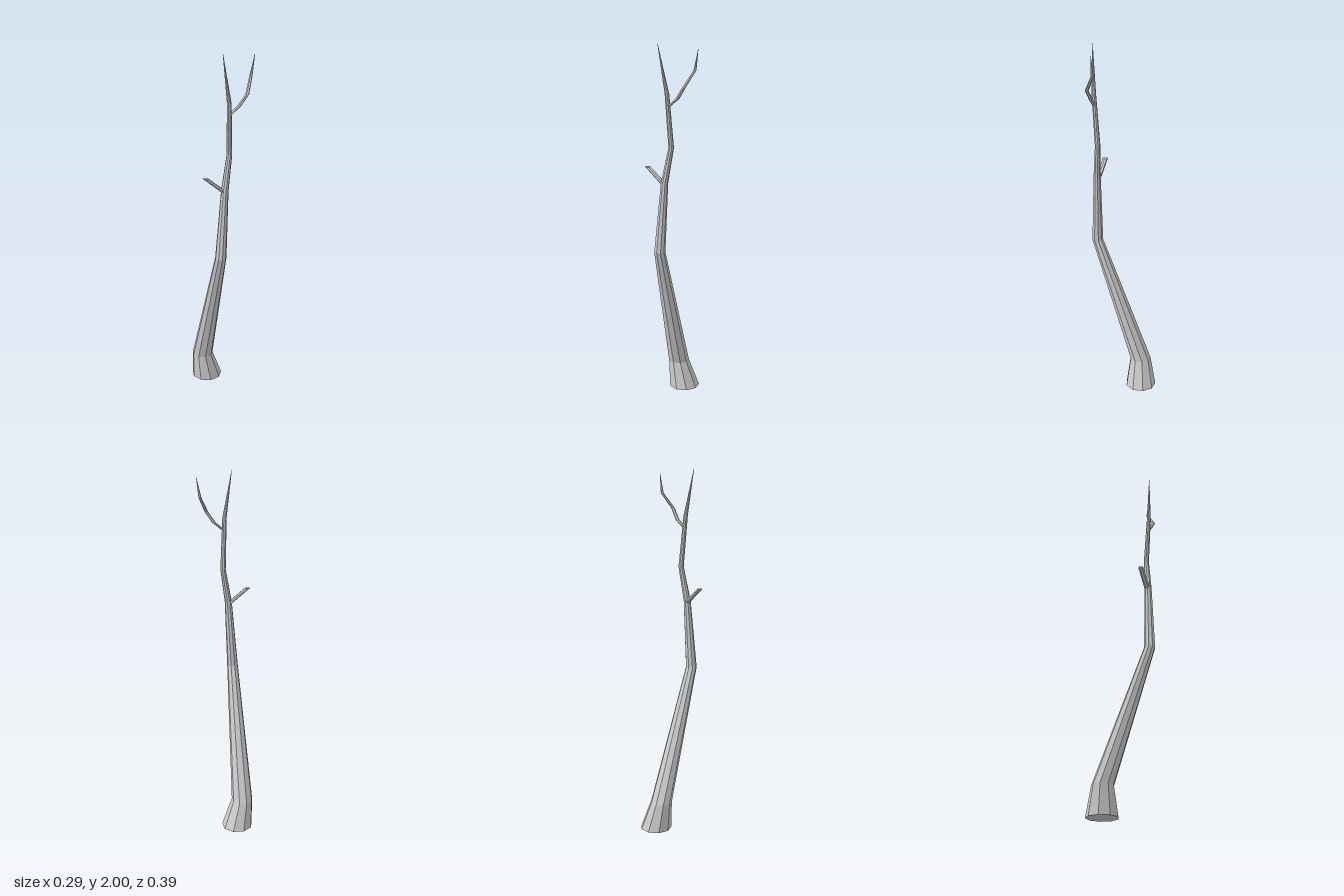
import * as THREE from 'three';

const material = new THREE.MeshStandardMaterial({ color: 0xcccccc, flatShading: true });

// Faceted limb through level rings [x, y, z, radius], closed at both ends
function limb(name, rings, sides) {
  const pos = [], index = [];
  for (const [x, y, z, r] of rings) {
    for (let i = 0; i < sides; i++) {
      const a = -Math.PI / 2 + (i / sides) * Math.PI * 2;
      pos.push(x + r * Math.cos(a), y, z + r * Math.sin(a));
    }
  }
  const last = rings.length - 1;
  const bottom = pos.length / 3, top = bottom + 1;
  pos.push(...rings[0].slice(0, 3), ...rings[last].slice(0, 3));
  for (let i = 0; i < sides; i++) {
    const j = (i + 1) % sides;
    for (let k = 0; k < last; k++) {
      const a = k * sides + i, b = k * sides + j;
      index.push(a, a + sides, b, b, a + sides, b + sides);
    }
    index.push(bottom, i, j, top, last * sides + j, last * sides + i);
  }
  const indexed = new THREE.BufferGeometry();
  indexed.setAttribute('position', new THREE.Float32BufferAttribute(pos, 3));
  indexed.setIndex(index);
  const geometry = indexed.toNonIndexed();
  geometry.computeVertexNormals();
  const mesh = new THREE.Mesh(geometry, material);
  mesh.name = name;
  return mesh;
}

export function createModel() {
  const tree = new THREE.Group();
  tree.name = 'bareTree';

  // Leaning trunk, flared at the foot and tapering to a point
  tree.add(limb('trunk', [
    [0.028, 0, -0.106, 0.088],
    [-0.005, 0.16, -0.103, 0.06],
    [-0.062, 0.9, 0.147, 0.031],
    [-0.035, 1.28, 0.144, 0.02],
    [0, 1.47, 0.136, 0.015],
    [-0.018, 1.75, 0.154, 0.012],
    [-0.064, 2, 0.16, 0.001],
  ], 9));

  // Short broken branch
  tree.add(limb('brokenBranch', [
    [-0.035, 1.27, 0.141, 0.016],
    [-0.133, 1.358, 0.105, 0.015],
  ], 7));

  // Crooked upper twig
  tree.add(limb('upperTwig', [
    [-0.012, 1.685, 0.15, 0.011],
    [0.037, 1.725, 0.162, 0.011],
    [0.075, 1.785, 0.182, 0.01],
    [0.126, 1.87, 0.148, 0.008],
    [0.143, 1.975, 0.154, 0.001],
  ], 6));

  return tree;
}
